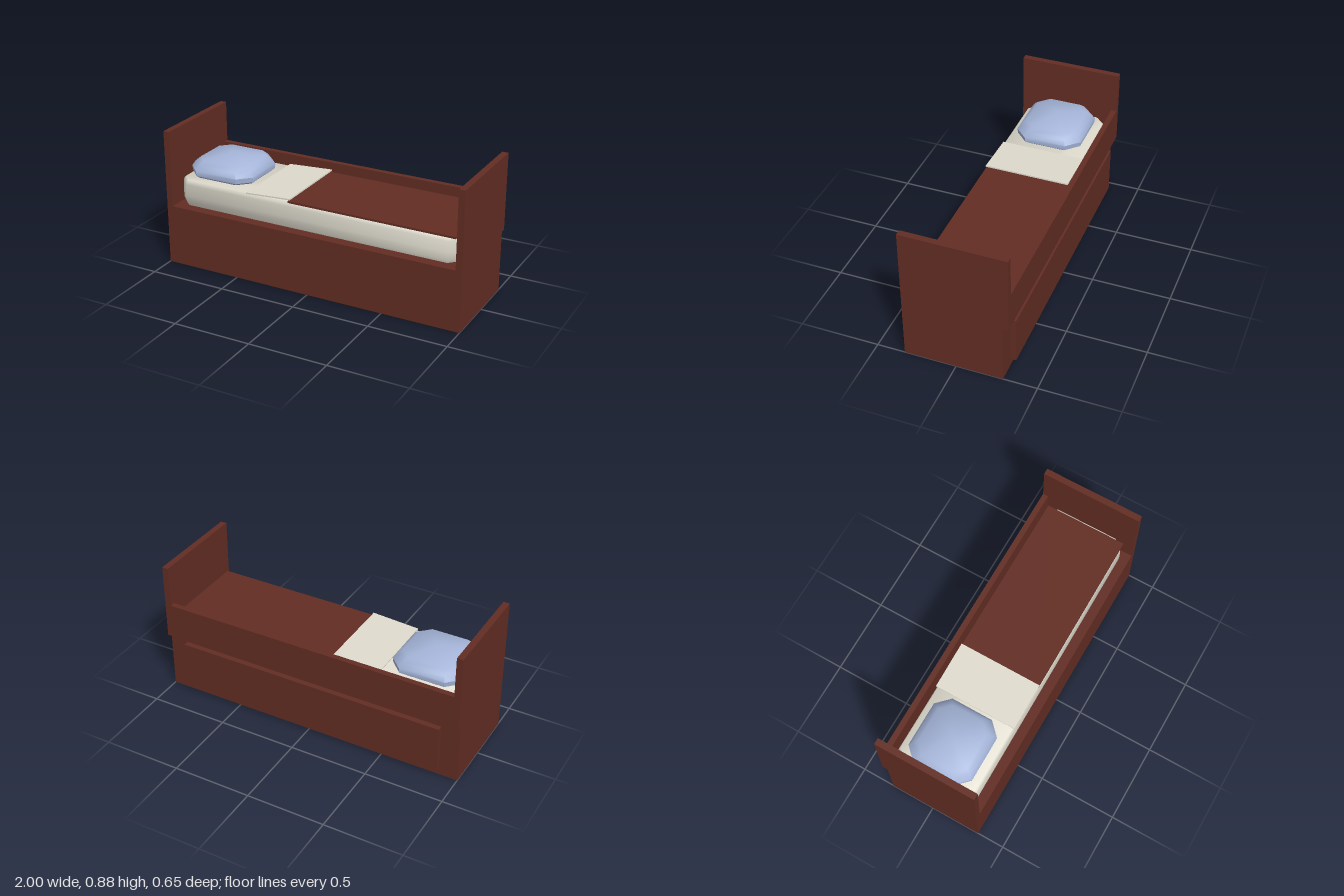
import * as THREE from 'three';
import { toCreasedNormals } from 'three/addons/utils/BufferGeometryUtils.js';

const mat = (name, color, side = THREE.FrontSide) => {
  const m = new THREE.MeshStandardMaterial({ color, side });
  m.name = name;
  return m;
};

// Cushion lofted from corner-cut rectangles; rows are [y, inset] from bottom to top
function cushion(hx, hz, cut, rows, peak, crease) {
  const pos = [], idx = [], n = 8;
  for (const [y, inset] of rows) {
    const a = hx - inset, b = hz - inset, c = cut * b / hz;
    const ring = [[a, b - c], [a, -b + c], [a - c, -b], [-a + c, -b],
      [-a, -b + c], [-a, b - c], [-a + c, b], [a - c, b]];
    for (const [x, z] of ring) pos.push(x, y, z);
  }
  const last = rows.length - 1;
  pos.push(0, rows[0][0], 0, 0, peak, 0);
  const low = rows.length * n, high = low + 1;
  for (let i = 0; i < n; i++) {
    const j = (i + 1) % n;
    for (let r = 0; r < last; r++) {
      const a = r * n + i, b = r * n + j;
      idx.push(a, b, b + n, a, b + n, a + n);
    }
    idx.push(low, j, i, high, last * n + i, last * n + j);
  }
  const g = new THREE.BufferGeometry();
  g.setAttribute('position', new THREE.Float32BufferAttribute(pos, 3));
  g.setIndex(idx);
  return toCreasedNormals(g, crease);
}

export function createModel() {
  const group = new THREE.Group();
  group.name = 'bed';
  const wood = mat('redBrownWood', 0x622d23, THREE.DoubleSide);
  const linen = mat('creamLinen', 0xdedacd);
  const blue = mat('paleBlue', 0xa5b5d9);

  const add = (name, geometry, material, x = 0, y = 0, z = 0) => {
    const mesh = new THREE.Mesh(geometry, material);
    mesh.name = name;
    mesh.position.set(x, y, z);
    group.add(mesh);
    return mesh;
  };
  // Box given by its limits on each axis
  const box = (name, material, [x0, x1], [y0, y1], [z0, z1]) =>
    add(name, new THREE.BoxGeometry(x1 - x0, y1 - y0, z1 - z0), material,
      (x0 + x1) / 2, (y0 + y1) / 2, (z0 + z1) / 2);

  // Hollow base, open underneath
  const base = box('base', wood, [-1, 1], [0, 0.39], [-0.29, 0.325]);
  const index = Array.from(base.geometry.index.array);
  index.splice(18, 6);
  base.geometry.setIndex(index);
  base.geometry.clearGroups();

  // End boards, back rail and drawer front
  box('headboard', wood, [-1, -0.96], [0.39, 0.885], [-0.325, 0.325]);
  box('footboard', wood, [0.96, 1], [0.39, 0.885], [-0.325, 0.325]);
  box('backRail', wood, [-0.96, 0.96], [0.39, 0.62], [-0.325, -0.29]);
  box('drawerFront', wood, [-0.88, 0.88], [0.05, 0.355], [-0.325, -0.29]);

  // Mattress with softened edges
  add('mattress', cushion(0.95, 0.27, 0.06,
    [[0.39, 0.012], [0.415, 0.002], [0.46, 0], [0.53, 0.002], [0.548, 0.006], [0.557, 0.014]],
    0.557, 0.9), linen);

  // Blanket and the turned-down sheet
  box('blanket', wood, [-0.16, 0.93], [0.553, 0.566], [-0.268, 0.266]);
  const sheet = box('foldedSheet', linen, [-0.45, -0.145], [0.564, 0.573], [-0.27, 0.268]);
  sheet.rotation.z = 0.06;

  // Pillow with a domed top
  add('pillow', cushion(0.225, 0.215, 0.08,
    [[0.56, 0.022], [0.575, 0.004], [0.608, 0], [0.64, 0.02], [0.667, 0.05]],
    0.695, 0.75), blue, -0.705);

  return group;
}
